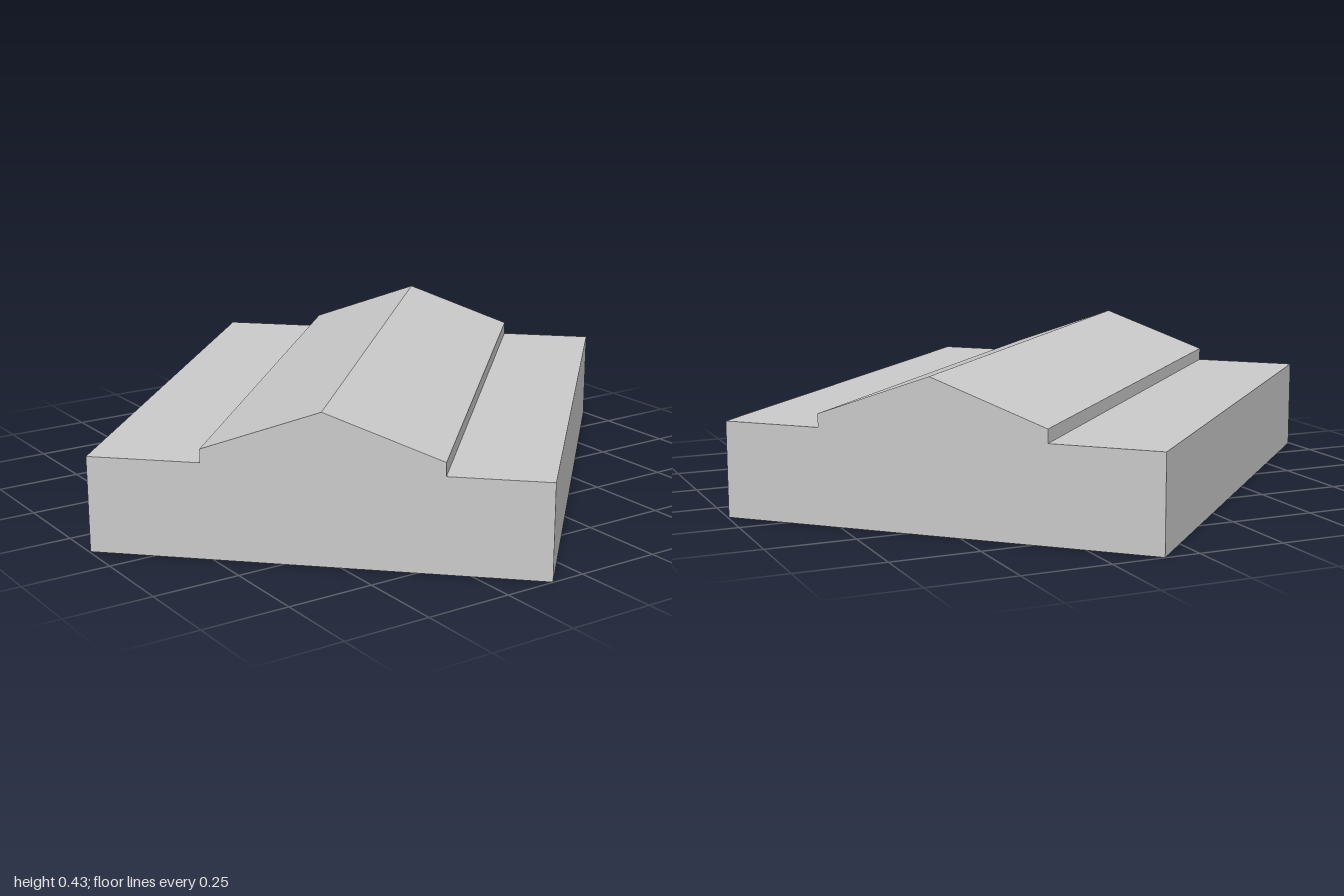
import * as THREE from 'three';

const LENGTH = 1.57, HALF_WIDTH = 0.626;
const LEDGE_Y = 0.272, EAVE_Y = 0.31, RIDGE_Y = 0.428;

export function createModel() {
  const group = new THREE.Group();
  group.name = 'ridgedBlock';

  // Cross-section: flat ledges either side of a low gabled strip
  const profile = new THREE.Shape([
    [-HALF_WIDTH, 0], [HALF_WIDTH, 0],
    [HALF_WIDTH, LEDGE_Y], [0.344, LEDGE_Y],
    [0.344, EAVE_Y], [0.017, RIDGE_Y], [-0.312, EAVE_Y],
    [-0.312, LEDGE_Y], [-HALF_WIDTH, LEDGE_Y],
  ].map(([x, y]) => new THREE.Vector2(x, y)));

  const geometry = new THREE.ExtrudeGeometry(profile, { depth: LENGTH, bevelEnabled: false });
  geometry.translate(0, 0, -LENGTH / 2);

  // Block with gabled top, set diagonally on the ground
  const block = new THREE.Mesh(
    geometry,
    new THREE.MeshStandardMaterial({ color: 0xcccccc, flatShading: true }),
  );
  block.name = 'gabledBlock';
  block.rotation.y = -THREE.MathUtils.degToRad(44.3);
  group.add(block);

  return group;
}
